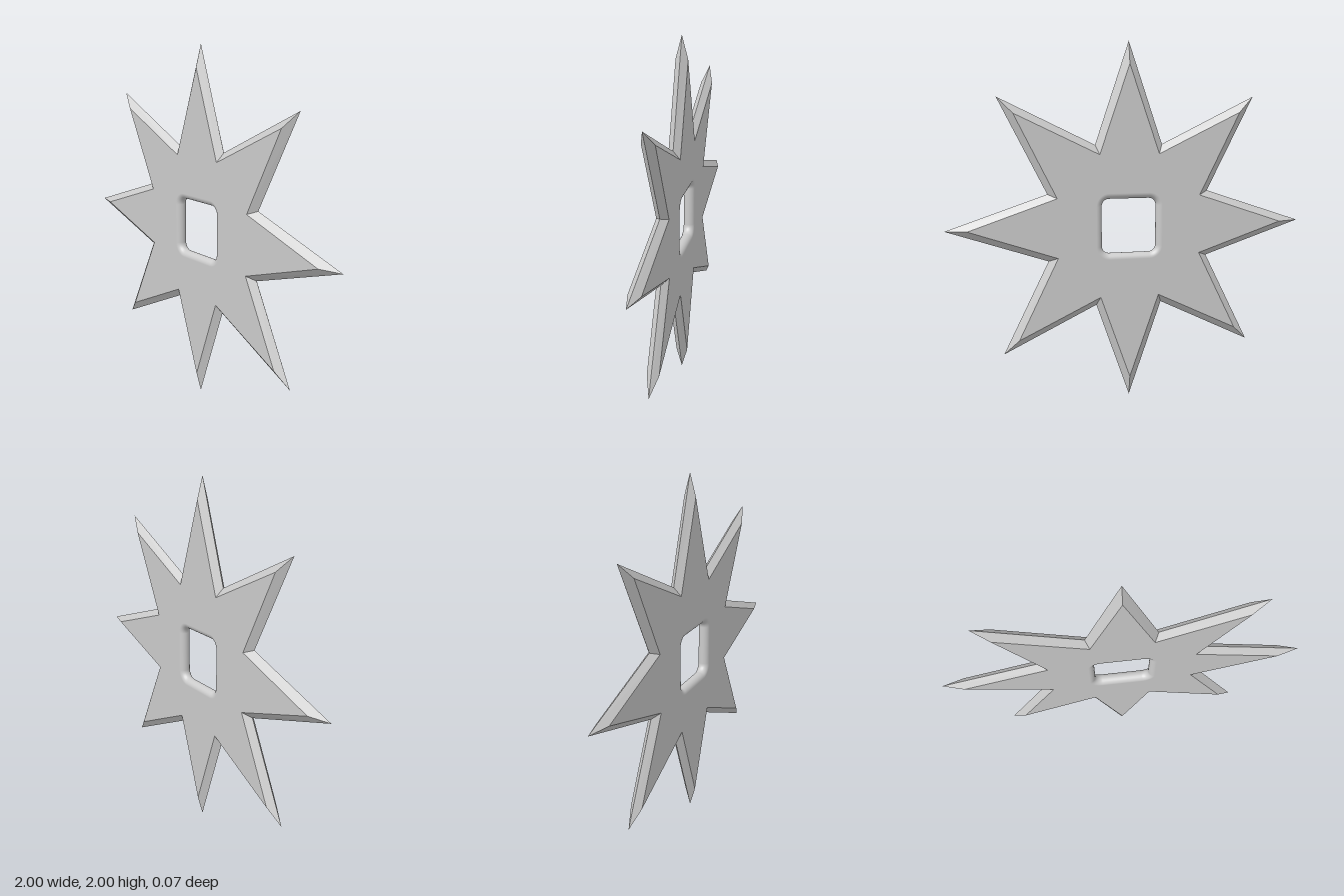
import * as THREE from 'three';

const POINTS = 8;
const HALF = 0.033;                          // half thickness, also the rim rounding radius
const EDGE = { tip: 1, valley: 0.487 };      // sharp outer edge
const FLAT = { tip: 0.88, valley: 0.432 };   // border of the flat face
const HOLE = 0.153, CORNER = 0.04;           // half width and corner radius of the square hole

// Corners of a star outline, counter-clockwise, first point straight up
function starPoints({ tip, valley }) {
  return Array.from({ length: POINTS * 2 }, (_, i) => {
    const a = Math.PI / 2 + (i * Math.PI) / POINTS;
    const r = i % 2 ? valley : tip;
    return new THREE.Vector2(r * Math.cos(a), r * Math.sin(a));
  });
}

// Rounded square grown outward by o; each entry has a position and outward normal
function holeLoop(o) {
  const loop = [], steps = 8, c = HOLE - CORNER;
  for (let q = 0; q < 4; q++) {
    const mid = Math.PI / 4 + (q * Math.PI) / 2;
    const cx = c * Math.sign(Math.cos(mid)), cy = c * Math.sign(Math.sin(mid));
    for (let s = 0; s <= steps; s++) {
      const a = (q + s / steps) * Math.PI / 2;
      const n = new THREE.Vector2(Math.cos(a), Math.sin(a));
      loop.push({ n, p: new THREE.Vector2(cx, cy).addScaledVector(n, CORNER + o) });
    }
  }
  return loop;
}

// Flat star face with the hole cut out
function faceGeometry() {
  const shape = new THREE.Shape(starPoints(FLAT));
  shape.holes.push(new THREE.Path(holeLoop(HALF).map(({ p }) => p)));
  return new THREE.ShapeGeometry(shape).translate(0, 0, HALF);
}

// Sloping blade facets from the flat face down to the sharp edge
function bevelGeometry() {
  const inner = starPoints(FLAT), outer = starPoints(EDGE), pos = [];
  inner.forEach((a, i) => {
    const j = (i + 1) % inner.length;
    const A = [a.x, a.y, HALF], B = [inner[j].x, inner[j].y, HALF];
    const C = [outer[i].x, outer[i].y, 0], D = [outer[j].x, outer[j].y, 0];
    pos.push(...A, ...C, ...D, ...A, ...D, ...B);
  });
  const g = new THREE.BufferGeometry();
  g.setAttribute('position', new THREE.Float32BufferAttribute(pos, 3));
  g.computeVertexNormals();
  return g;
}

// Half-round lip lining the hole, swept from front to back
function rimGeometry() {
  const pos = [], nor = [], idx = [], rows = 12;
  let n = 0;
  for (let r = 0; r <= rows; r++) {
    const a = (r / rows) * Math.PI, s = Math.sin(a), c = Math.cos(a);
    const loop = holeLoop(HALF * (1 - s));
    n = loop.length;
    for (const v of loop) {
      pos.push(v.p.x, v.p.y, HALF * c);
      nor.push(-v.n.x * s, -v.n.y * s, c);
    }
  }
  for (let r = 0; r < rows; r++) {
    for (let i = 0; i < n; i++) {
      const j = (i + 1) % n;
      const a = r * n + i, b = r * n + j, c = a + n, d = b + n;
      idx.push(a, b, c, b, d, c);
    }
  }
  const g = new THREE.BufferGeometry();
  g.setAttribute('position', new THREE.Float32BufferAttribute(pos, 3));
  g.setAttribute('normal', new THREE.Float32BufferAttribute(nor, 3));
  g.setIndex(idx);
  return g;
}

export function createModel() {
  const model = new THREE.Group();
  model.name = 'throwingStar';
  const smooth = new THREE.MeshStandardMaterial({ color: 0xcccccc });
  const flat = new THREE.MeshStandardMaterial({ color: 0xcccccc, flatShading: true });

  const add = (name, geometry, material, turn = 0) => {
    const mesh = new THREE.Mesh(geometry, material);
    mesh.name = name;
    mesh.position.y = 1;
    mesh.rotation.y = turn;
    model.add(mesh);
  };

  // The two sides are the same piece turned around the vertical axis
  const face = faceGeometry(), bevel = bevelGeometry();
  [['front', 0], ['back', Math.PI]].forEach(([side, turn]) => {
    add(side + 'Face', face, flat, turn);
    add(side + 'Blades', bevel, flat, turn);
  });
  add('holeRim', rimGeometry(), smooth);
  return model;
}
